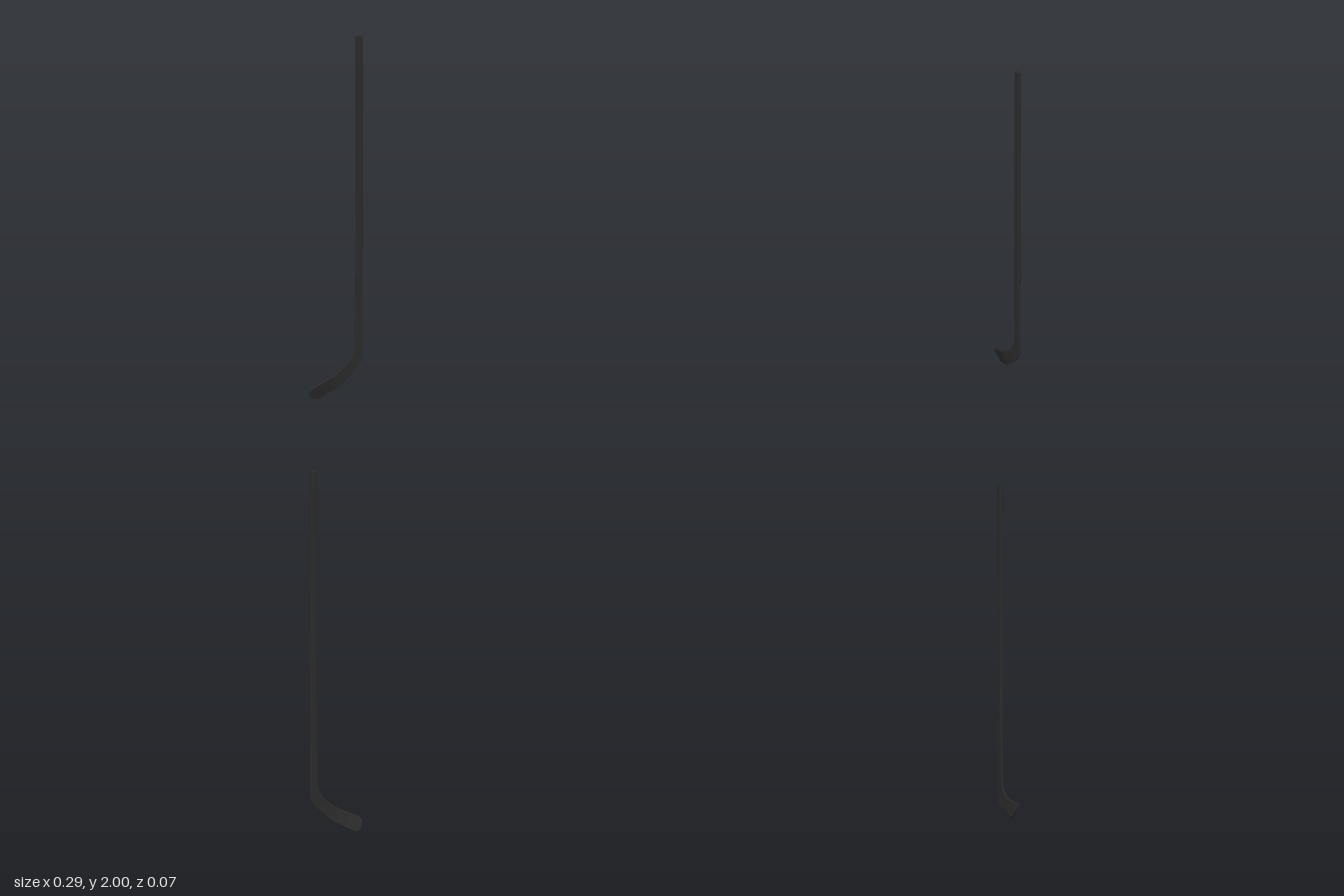
import * as THREE from 'three';

// Stations from butt end to toe: inner/top edge [x,y,z], outer/bottom edge [x,y,z], thickness
const STATIONS = [
  [[0.109, 2, 0.0235], [0.146, 2, 0.0235], 0.023],
  [[0.109, 1.3, 0.0235], [0.146, 1.3, 0.0235], 0.022],
  [[0.107, 0.75, 0.0235], [0.146, 0.75, 0.0235], 0.018],
  [[0.102, 0.4, 0.0235], [0.146, 0.4, 0.0235], 0.014],
  [[0.1, 0.31, 0.0235], [0.146, 0.28, 0.0235], 0.012],
  [[0.09, 0.252, 0.0235], [0.146, 0.218, 0.0235], 0.011],
  [[0.072, 0.215, 0.0238], [0.138, 0.188, 0.0235], 0.01],
  [[0.05, 0.19, 0.024], [0.105, 0.15, 0.0225], 0.01],
  [[0.015, 0.16, 0.0215], [0.06, 0.108, 0.0195], 0.01],
  [[-0.03, 0.13, 0.016], [0.015, 0.068, 0.011], 0.01],
  [[-0.075, 0.106, 0.006], [-0.04, 0.034, -0.0085], 0.009],
  [[-0.11, 0.088, -0.003], [-0.08, 0.01, -0.0235], 0.009],
  [[-0.13, 0.076, -0.011], [-0.103, 0.003, -0.03], 0.008],
  [[-0.142, 0.064, -0.017], [-0.122, 0.008, -0.033], 0.008],
  [[-0.147, 0.05, -0.021], [-0.138, 0.026, -0.029], 0.006],
];
const STEPS = 6;        // rings per station interval
const CORNER = 5;       // points per rounded corner
const RING = CORNER * 4;
const SHAFT_END = 4;    // station where the shaft meets the blade

const curve = (k) => new THREE.CatmullRomCurve3(STATIONS.map((s) => new THREE.Vector3(...s[k])));

// Rounded rectangle outline, counter-clockwise
function outline(w, t) {
  const r = Math.min(0.006, t * 0.45, w * 0.45);
  const pts = [];
  for (let q = 0; q < 4; q++) {
    const cx = (q === 0 || q === 3 ? 1 : -1) * (w / 2 - r);
    const cy = (q < 2 ? 1 : -1) * (t / 2 - r);
    for (let k = 0; k < CORNER; k++) {
      const a = (q + k / (CORNER - 1)) * Math.PI / 2;
      pts.push([cx + r * Math.cos(a), cy + r * Math.sin(a)]);
    }
  }
  return pts;
}

// Flat fan closing one end
function capGeometry(ring, flip) {
  const centre = ring.reduce((s, p) => s.add(p), new THREE.Vector3()).divideScalar(ring.length);
  const pts = [];
  ring.forEach((p, j) => {
    const q = ring[(j + 1) % ring.length];
    pts.push(centre, flip ? q : p, flip ? p : q);
  });
  const geo = new THREE.BufferGeometry().setFromPoints(pts);
  geo.computeVertexNormals();
  return geo;
}

export function createModel() {
  const group = new THREE.Group();
  group.name = 'hockeyStick';
  const carbon = new THREE.MeshStandardMaterial({ color: 0x2b2b2b });
  carbon.name = 'carbonBlack';
  const add = (name, geo) => {
    const mesh = new THREE.Mesh(geo, carbon);
    mesh.name = name;
    group.add(mesh);
  };

  // Sweep the changing section along both edge curves
  const top = curve(0), bottom = curve(1);
  const count = (STATIONS.length - 1) * STEPS;
  const rings = [];
  for (let i = 0; i <= count; i++) {
    const u = i / count;
    const a = top.getPoint(u), b = bottom.getPoint(u);
    const s = Math.min(Math.floor(i / STEPS), STATIONS.length - 2);
    const t = THREE.MathUtils.lerp(STATIONS[s][2], STATIONS[s + 1][2], i / STEPS - s);
    const along = top.getTangent(u).add(bottom.getTangent(u));
    const across = b.clone().sub(a);
    const w = across.length();
    across.normalize();
    const normal = across.clone().cross(along).normalize();
    const mid = a.clone().add(b).multiplyScalar(0.5);
    rings.push(outline(w, t).map(([p, q]) =>
      mid.clone().addScaledVector(across, p).addScaledVector(normal, q)));
  }

  const skin = new THREE.BufferGeometry().setFromPoints(rings.flat());
  const faces = (from, to) => {
    const index = [];
    for (let i = from; i < to; i++) {
      for (let j = 0; j < RING; j++) {
        const a = i * RING + j, b = i * RING + (j + 1) % RING;
        const c = a + RING, d = b + RING;
        index.push(a, c, b, b, c, d);
      }
    }
    return index;
  };
  skin.setIndex(faces(0, count));
  skin.computeVertexNormals();

  // Shaft and blade share smooth normals across their joint
  const split = SHAFT_END * STEPS;
  const shaft = skin.clone();
  shaft.setIndex(faces(0, split));
  add('shaft', shaft);
  const blade = skin.clone();
  blade.setIndex(faces(split, count));
  add('blade', blade);

  // End faces
  add('buttEnd', capGeometry(rings[0], false));
  add('toeEnd', capGeometry(rings[count], true));
  return group;
}
